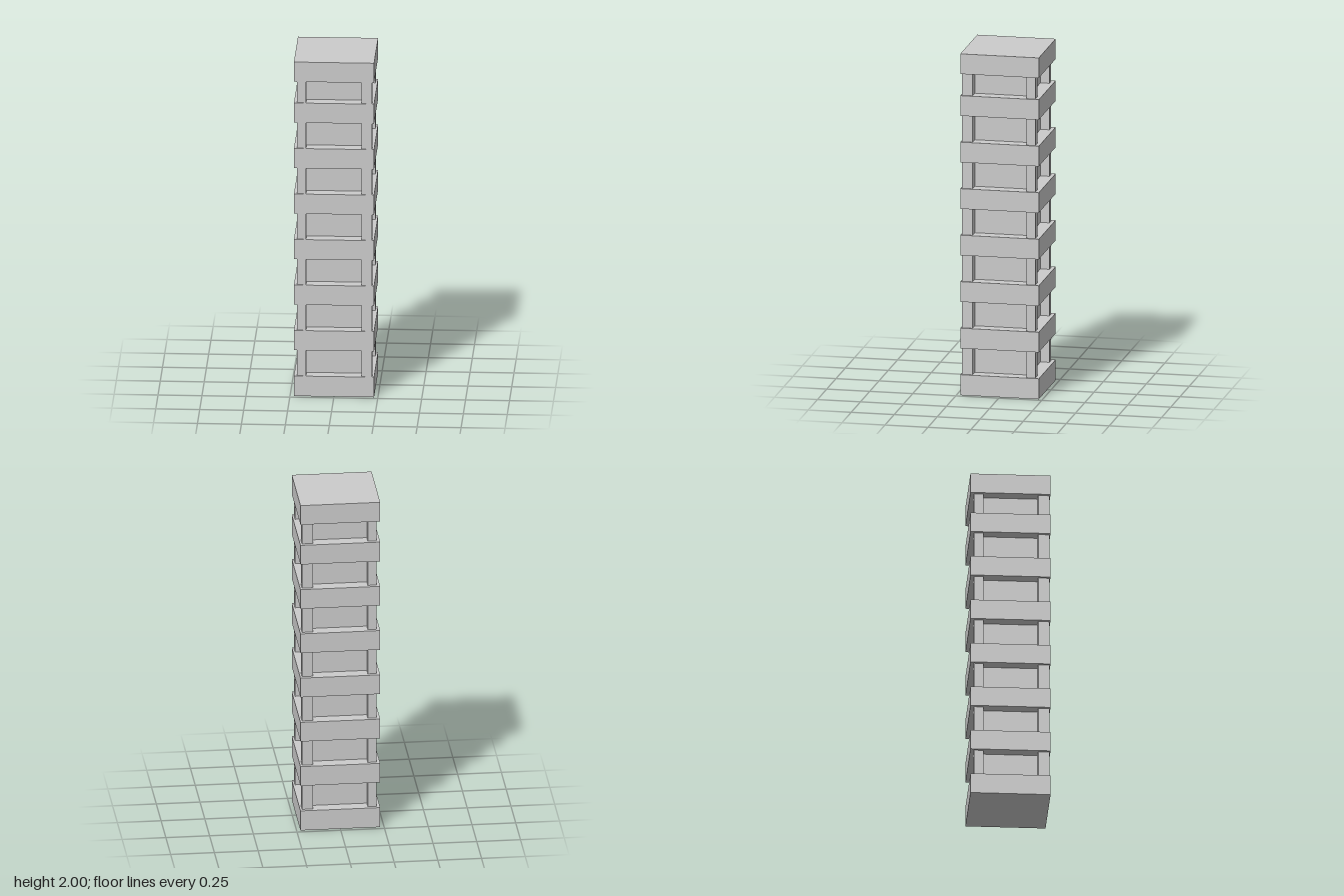
import * as THREE from 'three';

const material = new THREE.MeshStandardMaterial({ color: 0xcccccc, flatShading: true });

// Box given by its lower and upper corners
function block(name, [x0, y0, z0], [x1, y1, z1]) {
  const mesh = new THREE.Mesh(new THREE.BoxGeometry(x1 - x0, y1 - y0, z1 - z0), material);
  mesh.name = name;
  mesh.position.set((x0 + x1) / 2, (y0 + y1) / 2, (z0 + z1) / 2);
  return mesh;
}

export function createModel() {
  const tower = new THREE.Group();
  tower.name = 'tower';

  const half = 0.228;
  const storeys = 7;
  const pitch = 0.2725;
  const slabHeight = 0.118;
  const inset = 0.05; // keeps core and post ends inside the end slabs

  // Floor slabs, with the roof slab closing the slightly shorter top storey
  for (let i = 0; i <= storeys; i++) {
    const top = i === storeys ? 2 : 0.12 + i * pitch;
    const bottom = i === 0 ? 0 : top - slabHeight;
    const name = i === 0 ? 'baseSlab' : i === storeys ? 'roofSlab' : 'floorSlab';
    tower.add(block(name, [-half, bottom, -half], [half, top, half]));
  }

  // Recessed core walls
  tower.add(block('core', [-0.159, inset, -0.154], [0.155, 2 - inset, 0.159]));

  // Corner posts, standing slightly off-centre under the slabs
  const xSpans = [[-0.21, -0.159], [0.155, 0.217]];
  const zSpans = [[-0.206, -0.154], [0.159, 0.222]];
  for (const [x0, x1] of xSpans) {
    for (const [z0, z1] of zSpans) {
      tower.add(block('cornerPost', [x0, inset, z0], [x1, 2 - inset, z1]));
    }
  }

  return tower;
}
